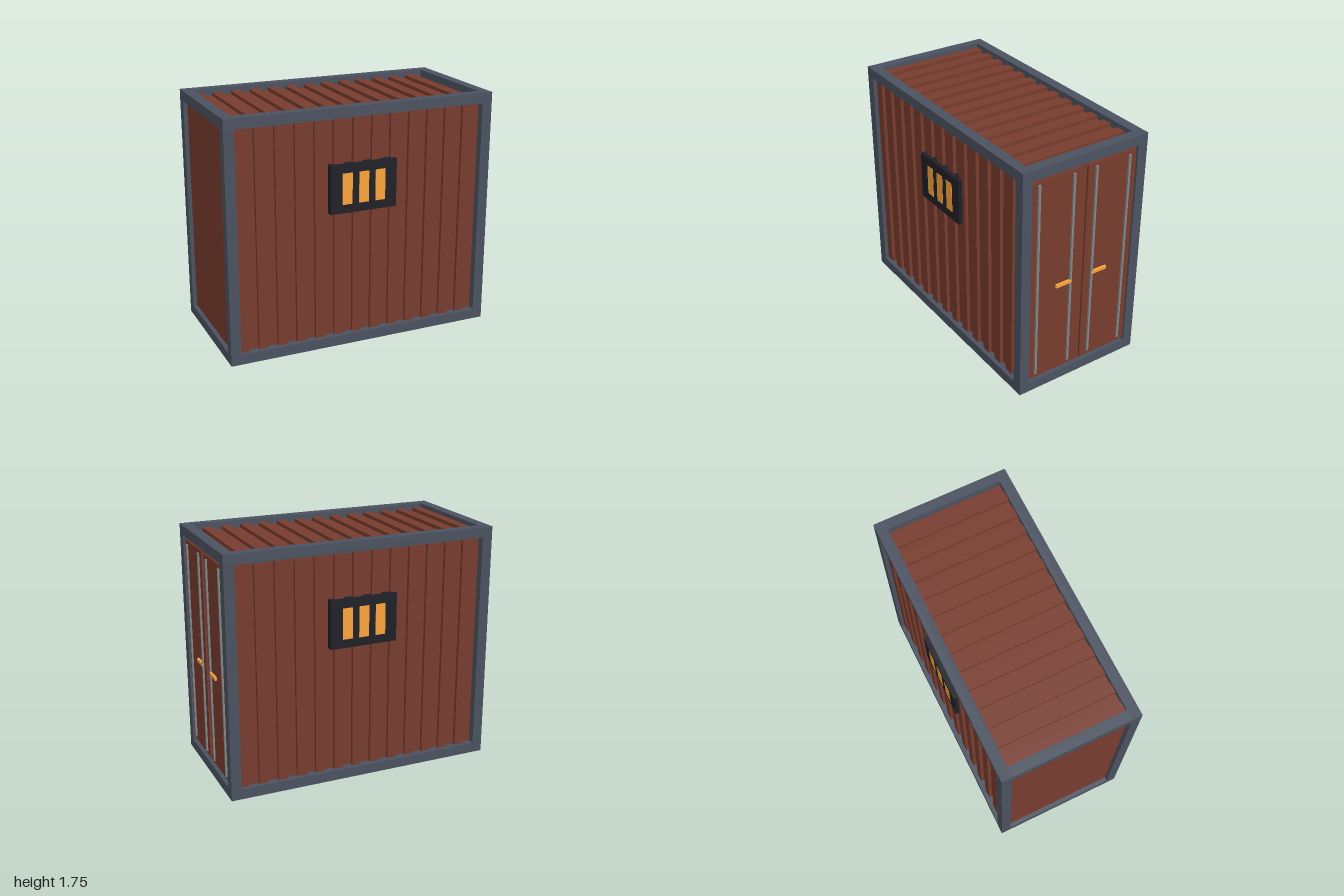
import * as THREE from 'three';

const mat = (color) => new THREE.MeshStandardMaterial({ color, flatShading: true });

export function createModel() {
  const root = new THREE.Group();
  root.name = 'container';
  const steel = mat(0x4b5260), red = mat(0x783c2e), dark = mat(0x1f2027);
  const amber = mat(0xffa63c), grey = mat(0x84878b);
  const W = 2, H = 1.75, D = 1, T = 0.075;

  const add = (name, geometry, material, x, y, z, parent = root) => {
    const mesh = new THREE.Mesh(geometry, material);
    mesh.name = name;
    mesh.position.set(x, y, z);
    parent.add(mesh);
    return mesh;
  };
  const box = (name, w, h, d, material, x, y, z, parent) =>
    add(name, new THREE.BoxGeometry(w, h, d), material, x, y, z, parent);

  // Frame of square beams along the twelve edges
  const frame = new THREE.Group();
  frame.name = 'frame';
  root.add(frame);
  for (const a of [-1, 1]) for (const b of [-1, 1]) {
    const yRail = H / 2 + a * (H - T) / 2;
    box('longRail', W, T, T, steel, 0, yRail, b * (D - T) / 2, frame);
    box('crossRail', T, T, D - 2 * T, steel, b * (W - T) / 2, yRail, 0, frame);
    box('cornerPost', T, H - 2 * T, T, steel, a * (W - T) / 2, H / 2, b * (D - T) / 2, frame);
  }

  // Corrugated sheet: stepped profile, ridges facing +y, extruded along z
  const STRIPS = 26, span = W - 2 * T, step = span / STRIPS;
  const corrugated = (length) => {
    const s = new THREE.Shape();
    s.moveTo(-span / 2, -0.075);
    s.lineTo(span / 2, -0.075);
    for (let i = STRIPS; i > 0; i--) {
      const v = i % 2 ? -0.03 : -0.055;
      s.lineTo(-span / 2 + i * step, v);
      s.lineTo(-span / 2 + (i - 1) * step, v);
    }
    return new THREE.ExtrudeGeometry(s, { depth: length, bevelEnabled: false })
      .translate(0, 0, -length / 2);
  };
  const deck = corrugated(D - 2 * T);
  const wall = corrugated(H - 2 * T).rotateX(Math.PI / 2);
  add('roofPanel', deck, red, 0, H, 0);
  add('floorPanel', deck, red, 0, 0, 0).rotation.x = Math.PI;

  // Long walls, each with a window of three lit panes
  for (const side of ['front', 'back']) {
    const group = new THREE.Group();
    group.name = side + 'Wall';
    if (side === 'back') group.rotation.y = Math.PI;
    root.add(group);
    add('wallPanel', wall, red, 0, H / 2, D / 2, group);
    box('windowFrame', 0.5, 0.35, 0.078, dark, 0, 1.175, 0.459, group);
    for (const x of [-0.125, 0, 0.125])
      box('windowPane', 0.075, 0.225, 0.02, amber, x, 1.175, 0.49, group);
  }

  // Plain end wall
  box('endWall', 0.03, H - 2 * T, D - 2 * T, red, -0.955, H / 2, 0);

  // Door end: back sheet, two leaves, lock rods and handles
  box('doorSheet', 0.03, H - 2 * T, D - 2 * T, red, 0.955, H / 2, 0);
  for (const s of [-1, 1]) {
    const door = new THREE.Group();
    door.name = s > 0 ? 'frontDoor' : 'backDoor';
    root.add(door);
    box('doorLeaf', 0.03, 1.55, 0.4, red, 0.97, H / 2, s * 0.225, door);
    for (const z of [0.09, 0.365])
      box('lockRod', 0.015, 1.5, 0.017, grey, 0.99, H / 2, s * z, door);
    box('doorHandle', 0.02, 0.025, 0.125, amber, 0.99, 0.802, s * 0.15, door);
  }
  return root;
}
